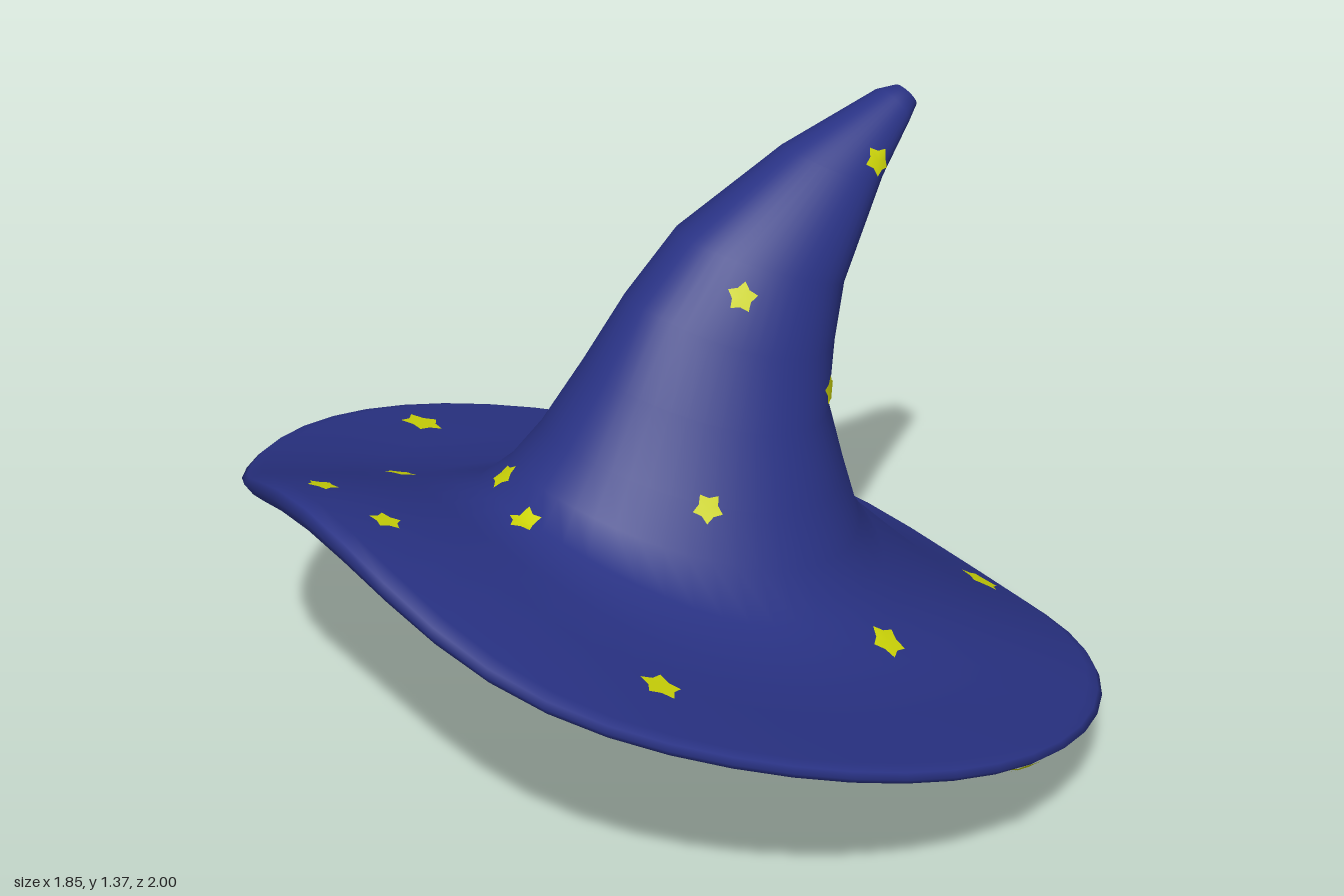
import * as THREE from 'three';

const SEG = 48;

// Each ring: [leftX, leftY, rightX, rightY, halfDepth, sideY, endPower, fullness towards +x]
const CROWN = [
  [0.595, 1.372, 0.632, 1.32, 0.03, 1.347, 2, 0],
  [0.55, 1.37, 0.598, 1.29, 0.055, 1.33, 2, 0.05],
  [0.3, 1.29, 0.515, 1.215, 0.115, 1.235, 2, 0.15],
  [0.03, 1.15, 0.39, 1.01, 0.187, 1.075, 2, 0.22],
  [-0.1, 1.03, 0.358, 0.9, 0.222, 0.93, 2, 0.22],
  [-0.2, 0.89, 0.325, 0.78, 0.272, 0.79, 2, 0.22],
  [-0.3, 0.76, 0.355, 0.64, 0.335, 0.64, 2, 0.2],
  [-0.37, 0.69, 0.388, 0.52, 0.385, 0.53, 2, 0.16],
];
const BRIM = [
  [-0.43, 0.645, 0.445, 0.435, 0.46, 0.425, 2, 0.08],
  [-0.55, 0.66, 0.57, 0.31, 0.6, 0.37, 3, 0],
  [-0.67, 0.725, 0.7, 0.185, 0.76, 0.36, 5, 0],
  [-0.88, 0.798, 0.89, 0.06, 0.965, 0.362, 9, 0],
  [-0.91, 0.792, 0.912, 0.04, 0.99, 0.356, 10, 0],
];
const EDGE = [[-0.923, 0.775, 0.922, 0.018, 1, 0.344, 10, 0]];
const UNDER = [
  [-0.905, 0.74, 0.905, 0.0, 0.985, 0.328, 10, 0],
  [-0.87, 0.72, 0.87, 0.018, 0.955, 0.325, 9, 0],
  [-0.67, 0.66, 0.7, 0.135, 0.76, 0.32, 5, 0],
  [-0.55, 0.61, 0.57, 0.24, 0.6, 0.33, 3, 0],
  [-0.43, 0.585, 0.45, 0.36, 0.465, 0.37, 2, 0.05],
];

// Moves a crown ring inward by the felt thickness
function shrink([xl, yl, xr, yr, w, ym, p, k]) {
  const f = 1 - 0.035 / w, mx = (xl + xr) / 2, my = (yl + yr) / 2;
  const to = (v, m) => m + (v - m) * f;
  return [to(xl, mx), to(yl, my) - 0.015, to(xr, mx), to(yr, my) - 0.015, w * f, ym - 0.015, p, k];
}

// Tilted egg-shaped ring whose two ends curl away from a straight slope
function ringPoint([xl, yl, xr, yr, w, ym, p, k], a) {
  const c = Math.cos(a), s = Math.sin(a), half = (xr - xl) / 2;
  const h = p > 2 ? -0.28 * half : (yr - yl) / 2;
  const end = c > 0 ? yr - (ym + h) : yl - (ym - h);
  return [(xl + xr) / 2 + half * c, ym + h * c + end * Math.abs(c) ** p, w * s * (1 + k * c)];
}

// Skins a list of rings, optionally closing the first or last one
function loft(rings, capStart, capEnd) {
  const pos = [], idx = [];
  for (const r of rings)
    for (let j = 0; j < SEG; j++) pos.push(...ringPoint(r, (j / SEG) * Math.PI * 2));
  for (let i = 0; i < rings.length - 1; i++)
    for (let j = 0; j < SEG; j++) {
      const k = (j + 1) % SEG, a = i * SEG, b = a + SEG;
      idx.push(a + j, a + k, b + j, a + k, b + k, b + j);
    }
  const cap = (i, flip) => {
    const r = rings[i], n = pos.length / 3;
    pos.push((r[0] + r[2]) / 2, (r[1] + r[3]) / 2, 0);
    for (let j = 0; j < SEG; j++) {
      const a = i * SEG + j, b = i * SEG + ((j + 1) % SEG);
      idx.push(...(flip ? [n, a, b] : [n, b, a]));
    }
  };
  if (capStart) cap(0, false);
  if (capEnd) cap(rings.length - 1, true);
  const g = new THREE.BufferGeometry();
  g.setAttribute('position', new THREE.Float32BufferAttribute(pos, 3));
  g.setIndex(idx);
  g.computeVertexNormals();
  return g;
}

export function createModel() {
  const group = new THREE.Group();
  const felt = new THREE.MeshStandardMaterial({ color: 0x293284 });
  felt.name = 'midnight blue felt';
  const gold = new THREE.MeshStandardMaterial({ color: 0xccd408 });
  gold.name = 'star yellow';

  // Crown and brim in one skin, then a separate lining for a crisp opening edge
  const body = new THREE.Mesh(loft([...CROWN, ...BRIM, ...EDGE, ...UNDER], true, false), felt);
  body.name = 'crownAndBrim';
  const inside = CROWN.slice(2).map(shrink).reverse();
  const lining = new THREE.Mesh(loft([UNDER[UNDER.length - 1], ...inside], false, true), felt);
  lining.name = 'crownLining';
  group.add(body, lining);

  const ray = new THREE.Raycaster();
  const hit = (o, d) => {
    ray.set(o, d);
    return ray.intersectObjects([body, lining], false)[0];
  };

  // Five-pointed patch that follows the felt below it
  function star(center, n, radius, turn, squash, name) {
    const ref = Math.abs(n.y) > 0.9 ? new THREE.Vector3(0, 0, -1) : new THREE.Vector3(0, 1, 0);
    const u = new THREE.Vector3().crossVectors(ref, n).normalize();
    const v = new THREE.Vector3().crossVectors(n, u);
    const down = n.clone().negate(), pos = [], idx = [];
    for (let i = 0; i <= 10; i++) {
      const r = i === 10 ? 0 : i % 2 ? radius * 0.64 : radius;
      const a = Math.PI / 2 + turn + (i * Math.PI) / 5;
      const q = center.clone()
        .addScaledVector(u, r * Math.cos(a))
        .addScaledVector(v, r * squash * Math.sin(a));
      const h = hit(q.clone().addScaledVector(n, 0.05), down);
      if (h && h.distance < 0.09) q.copy(h.point);
      pos.push(...q.addScaledVector(n, 0.005).toArray());
      if (i < 10) idx.push(10, i, (i + 1) % 10);
    }
    const g = new THREE.BufferGeometry();
    g.setAttribute('position', new THREE.Float32BufferAttribute(pos, 3));
    g.setIndex(idx);
    g.computeVertexNormals();
    const m = new THREE.Mesh(g, gold);
    m.name = name;
    group.add(m);
  }

  // Stars are dropped on the felt from outside and repeated on the hidden face
  let count = 0;
  function place(origin, dir, radius, mirrored = true, squash = 1) {
    const h = hit(new THREE.Vector3(...origin), new THREE.Vector3(...dir));
    if (!h) return;
    const n = h.face.normal.clone(), turn = squash < 1 ? 0 : count * 0.7;
    star(h.point, n, radius, turn, squash, 'star' + ++count);
    if (!mirrored) return;
    const back = hit(h.point.clone().addScaledVector(n, -0.12), n);
    if (back && back.distance > 0.03 && back.distance < 0.118)
      star(back.point, back.face.normal.clone(), radius, turn, 1, 'innerStar' + count);
  }

  // Stars seen from above: x, z, radius
  [
    [-0.15, -0.84, 0.052], [0.33, -0.51, 0.045], [-0.48, -0.37, 0.038], [-0.1, -0.365, 0.038],
    [-0.81, -0.11, 0.036], [-0.77, 0.08, 0.036], [-0.435, 0.07, 0.036], [-0.38, -0.09, 0.035],
    [0.78, 0.13, 0.052], [0.2, 0.51, 0.045], [-0.45, 0.6, 0.046],
  ].forEach(([x, z, r]) => place([x, 3, z], [0, -1, 0], r));

  // Stars high on the crown, above its solid tip
  [[-0.06, -0.14], [0.31, -0.09]].forEach(([x, z]) => place([x, 3, z], [0, -1, 0], 0.035, false));

  // Stars on the front and back of the crown: x, y, side
  [[0.46, 1.26, 1], [0.07, 1.06, 1], [-0.11, 0.67, 1], [0.25, 0.82, 1], [0.23, 0.71, -1]]
    .forEach(([x, y, s]) => place([x, y, 3 * s], [0, 0, -s], 0.034, y < 1));

  // Stars under the bend of the crown: z, y
  [[0, 1.0], [0.06, 0.46]].forEach(([z, y]) => place([3, y, z], [-1, 0, 0], 0.034, y < 0.9));

  // Squashed stars along the brim edge
  place([0.19, 0.283, 3], [0, 0, -1], 0.055, false, 0.35);
  place([0.6, 0.158, -3], [0, 0, 1], 0.06, false, 0.35);

  return group;
}
